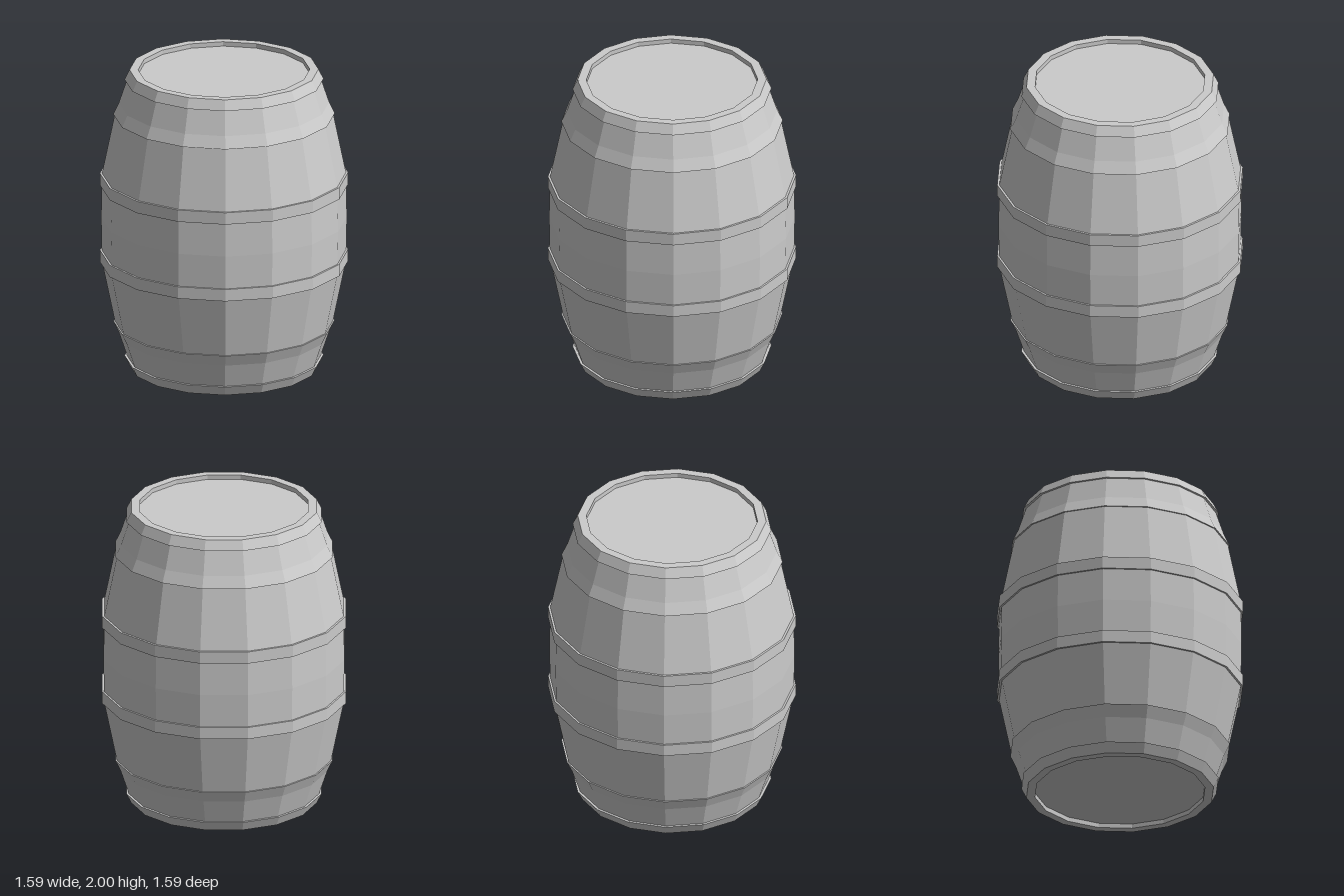
import * as THREE from 'three';

const SIDES = 16;
const material = new THREE.MeshStandardMaterial({ color: 0xcccccc, flatShading: true });

// Turns [radius, height] pairs, listed up the outside, into a faceted solid
function turned(name, profile) {
  const points = profile.map(([r, y]) => new THREE.Vector2(r, y));
  const mesh = new THREE.Mesh(new THREE.LatheGeometry(points, SIDES), material);
  mesh.name = name;
  return mesh;
}

// Closed ring from a lower and an upper outer edge
function hoop(name, r0, y0, r1, y1, depth = 0.04) {
  return turned(name, [
    [r0 - depth, y0], [r0, y0], [r1, y1], [r1 - depth, y1], [r0 - depth, y0],
  ]);
}

export function createModel() {
  const barrel = new THREE.Group();
  barrel.name = 'barrel';

  // Bulging staves with both ends recessed inside a rim
  const lower = [
    [0, 0.03], [0.55, 0.03], [0.55, 0], [0.6, 0], [0.7, 0.3], [0.782, 0.7], [0.788, 1],
  ];
  const upper = lower.slice(0, -1).reverse().map(([r, y]) => [r, 2 - y]);
  barrel.add(turned('staves', [...lower, ...upper]));

  // Hoops: outer edge radius and height, mirrored about mid height
  const hoops = [
    ['EndHoop', 0.606, 0, 0.638, 0.065],
    ['QuarterHoop', 0.673, 0.22, 0.71, 0.3],
    ['MiddleHoop', 0.796, 0.7, 0.796, 0.78],
  ];
  for (const [name, r0, y0, r1, y1] of hoops) {
    barrel.add(hoop('lower' + name, r0, y0, r1, y1));
    barrel.add(hoop('upper' + name, r1, 2 - y1, r0, 2 - y0));
  }
  return barrel;
}
